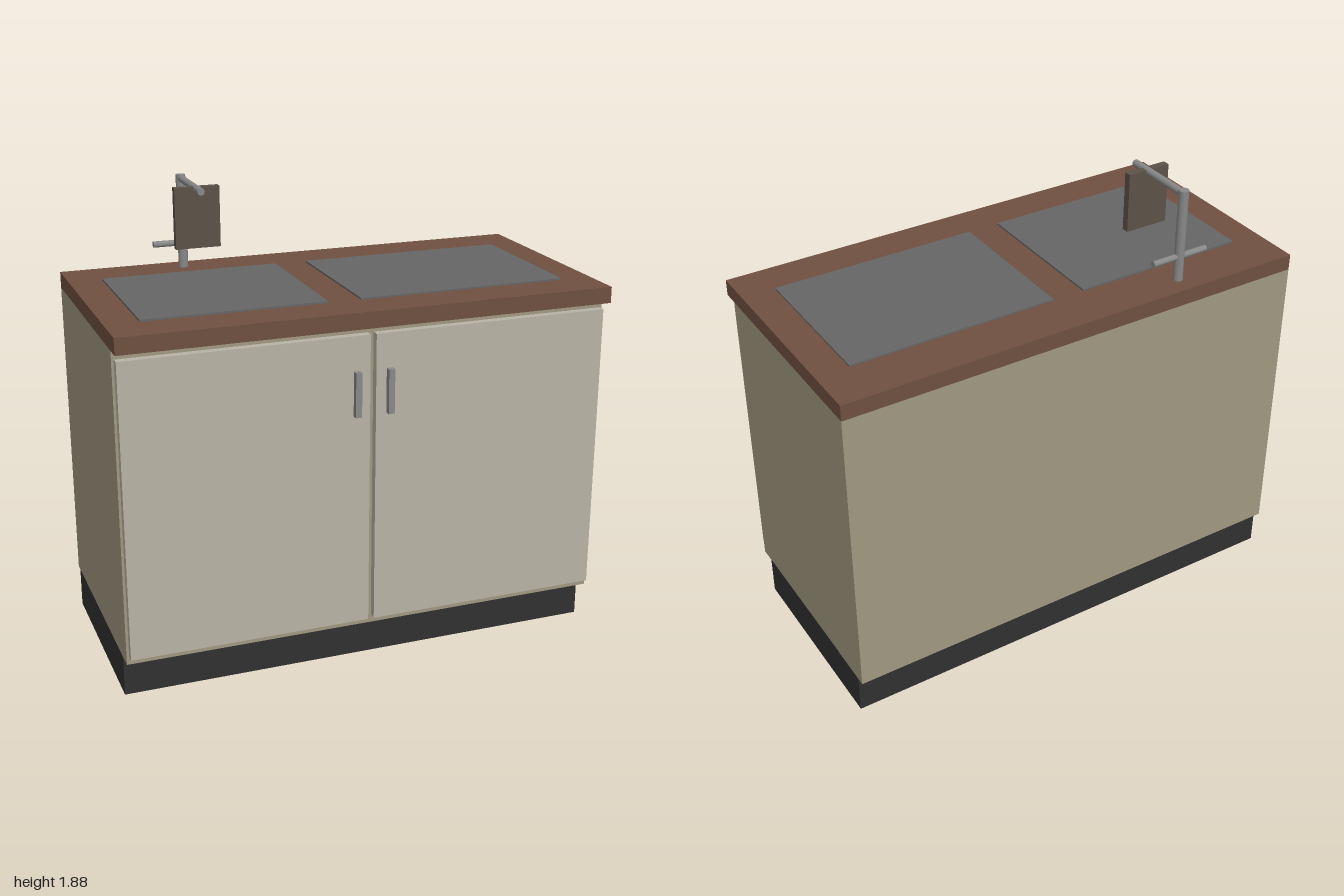
import * as THREE from 'three';

const material = (color) => new THREE.MeshStandardMaterial({ color });

export function createModel() {
  const group = new THREE.Group();
  const wood = material(0x6f5040);
  const carcass = material(0xa09880);
  const doorPaint = material(0xb8b3a5);
  const plinthBlack = material(0x303030);
  const steel = material(0x666666);
  const chrome = material(0x888888);
  const towelCloth = material(0x5c5248);

  const add = (name, geometry, mat) => {
    const mesh = new THREE.Mesh(geometry, mat);
    mesh.name = name;
    group.add(mesh);
    return mesh;
  };
  // box given by its extents along each axis
  const box = (name, [x0, x1], [y0, y1], [z0, z1], mat) =>
    add(name, new THREE.BoxGeometry(x1 - x0, y1 - y0, z1 - z0), mat)
      .position.set((x0 + x1) / 2, (y0 + y1) / 2, (z0 + z1) / 2);
  // round bar between two points
  const bar = (name, from, to, radius, mat) => {
    const a = new THREE.Vector3(...from);
    const b = new THREE.Vector3(...to);
    const dir = b.clone().sub(a);
    const mesh = add(name, new THREE.CylinderGeometry(radius, radius, dir.length(), 16), mat);
    mesh.position.copy(a).add(b).multiplyScalar(0.5);
    mesh.quaternion.setFromUnitVectors(new THREE.Vector3(0, 1, 0), dir.normalize());
  };

  // Cabinet body
  box('plinth', [-1, 1], [0, 0.17], [-0.467, 0.367], plinthBlack);
  box('cabinet', [-1, 1], [0.167, 1.434], [-0.5, 0.433], carcass);
  box('countertop', [-1, 1], [1.434, 1.5], [-0.5, 0.5], wood);

  // Doors and their handles, mirrored about the centre
  for (const [side, s] of [['left', 1], ['right', -1]]) {
    const span = (a, b) => [Math.min(s * a, s * b), Math.max(s * a, s * b)];
    box(side + 'Door', span(0.012, 0.99), [0.2, 1.4], [0.433, 0.465], doorPaint);
    box(side + 'Handle', span(0.055, 0.08), [1.08, 1.26], [0.465, 0.49], chrome);
  }

  // Sink and hob plates
  box('sinkPlate', [-0.867, -0.135], [1.495, 1.508], [-0.3, 0.333], steel);
  box('hobPlate', [0, 0.865], [1.495, 1.507], [-0.3, 0.333], steel);

  // Tap with cross handle
  bar('tapPost', [-0.5, 1.5, -0.417], [-0.5, 1.885, -0.417], 0.02, chrome);
  bar('tapSpout', [-0.5, 1.87, -0.417], [-0.5, 1.87, -0.107], 0.015, chrome);
  bar('tapCrossHandle', [-0.625, 1.602, -0.417], [-0.375, 1.602, -0.417], 0.013, chrome);

  // Cloth hanging from the spout
  box('hangingCloth', [-0.592, -0.408], [1.633, 1.878], [-0.198, -0.168], towelCloth);

  return group;
}
